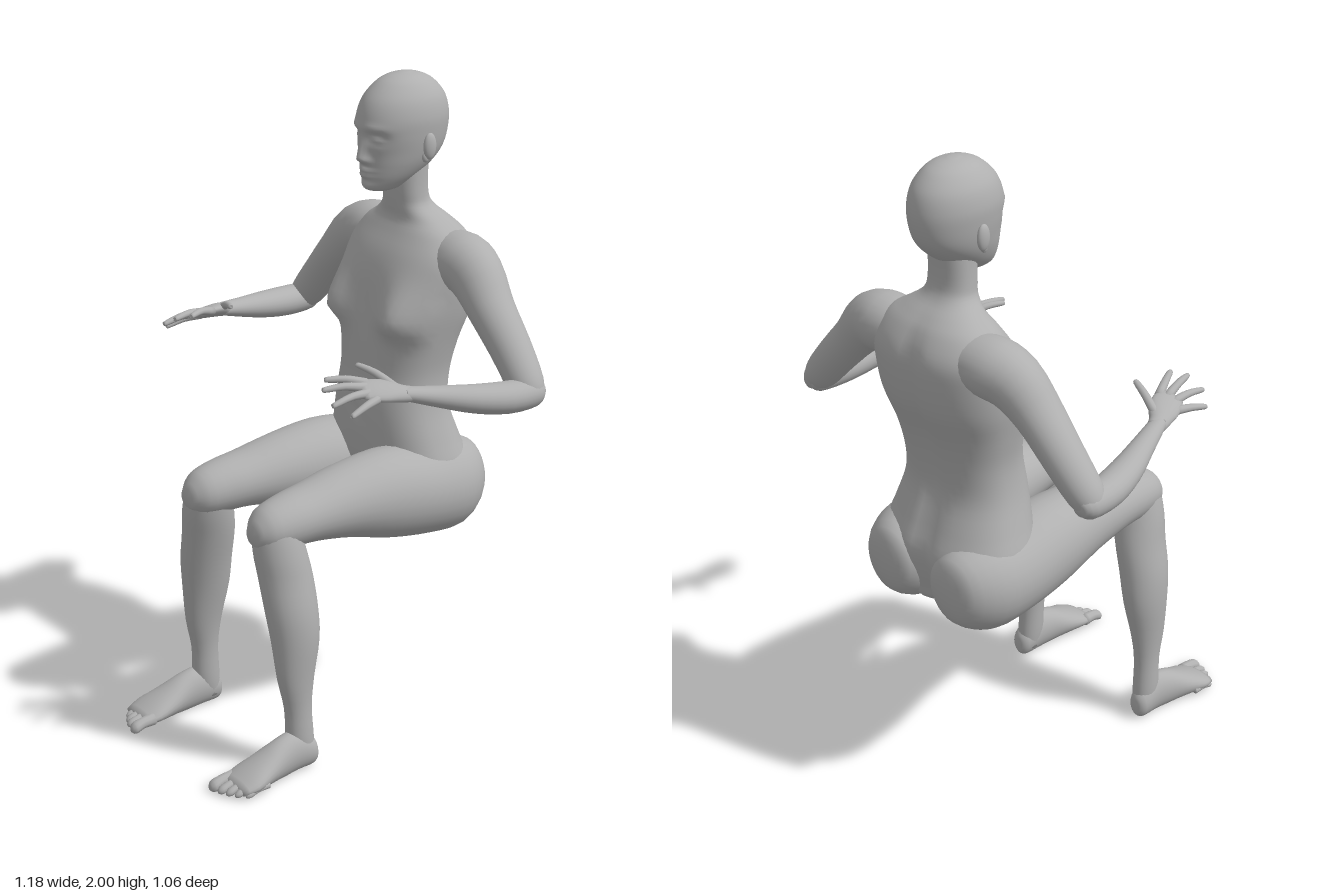
import * as THREE from 'three';

const skin = new THREE.MeshStandardMaterial({ color: 0xb0b0b0 });
skin.name = 'plain grey';

const V = (x, y, z) => new THREE.Vector3(x, y, z);
const X = V(1, 0, 0), Y = V(0, 1, 0), Z = V(0, 0, 1);

// Smooth skin through sections [x, y, z, radius along side, radius across].
// A fixed axis keeps every ring parallel; otherwise rings follow the path.
function loft(name, secs, { side = X, axis = null, mirror = 1, segs = 24, sub = 3, power = 2, deform = null }) {
  const path = new THREE.CatmullRomCurve3(secs.map(s => V(s[0] * mirror, s[1], s[2])), false, 'catmullrom', 0.5);
  const radii = new THREE.CatmullRomCurve3(secs.map(s => V(s[3], s[4], 0)), false, 'catmullrom', 0.5);
  const rows = (secs.length - 1) * sub;
  const pos = [], index = [];
  const put = p => { if (deform) deform(p); pos.push(p.x, p.y, p.z); };
  const round = t => Math.sign(t) * Math.pow(Math.abs(t), 2 / power);
  for (let i = 0; i <= rows; i++) {
    const t = i / rows, c = path.getPoint(t), r = radii.getPoint(t);
    const dir = axis || path.getTangent(t);
    const a = V(side.x * mirror, side.y, side.z);
    a.addScaledVector(dir, -a.dot(dir)).normalize();
    const b = dir.clone().cross(a);
    for (let j = 0; j < segs; j++) {
      const q = j / segs * Math.PI * 2;
      put(c.clone().addScaledVector(a, round(Math.cos(q)) * r.x).addScaledVector(b, round(Math.sin(q)) * r.y));
      if (i < rows) {
        const k = i * segs + j, n = i * segs + (j + 1) % segs;
        index.push(k, n, k + segs, n, n + segs, k + segs);
      }
    }
  }
  // End caps
  const last = rows * segs, c0 = last + segs;
  put(path.getPoint(0));
  put(path.getPoint(1));
  for (let j = 0; j < segs; j++) {
    const n = (j + 1) % segs;
    index.push(c0, n, j, c0 + 1, last + j, last + n);
  }
  const g = new THREE.BufferGeometry();
  g.setAttribute('position', new THREE.Float32BufferAttribute(pos, 3));
  g.setIndex(index);
  g.computeVertexNormals();
  const mesh = new THREE.Mesh(g, skin);
  mesh.name = name;
  return mesh;
}

const bell = (d, w) => Math.exp(-(d * d) / (w * w));

// Chest volume, spine groove and navel
function shapeTorso(p) {
  const ax = Math.abs(p.x);
  if (p.z > -0.32) {
    const dy = p.y - 1.285;
    p.z += 0.065 * bell(ax - 0.15, 0.075) * bell(dy, dy > 0 ? 0.1 : 0.05);
    p.z -= 0.012 * bell(p.x, 0.012) * bell(p.y - 0.98, 0.015);
  } else if (p.z < -0.4) {
    p.z += 0.018 * bell(p.x, 0.03) * (p.y < 1.45 ? 1 : bell(p.y - 1.45, 0.08));
  }
}

// Brow, eyes, nose, lips and chin
function shapeFace(p) {
  if (p.z < -0.28) return;
  const ax = Math.abs(p.x), y = p.y;
  let d = 0;
  d += 0.026 * bell(p.x, 0.017) * bell(y - 1.762, y > 1.762 ? 0.045 : 0.014);
  d += 0.008 * bell(ax - 0.018, 0.01) * bell(y - 1.757, 0.012);
  d -= 0.017 * bell(ax - 0.045, 0.026) * bell(y - 1.826, 0.018);
  d += 0.011 * bell(ax - 0.046, 0.017) * bell(y - 1.822, 0.009);
  d += 0.006 * bell(ax - 0.04, 0.035) * bell(y - 1.855, 0.012);
  d += 0.011 * bell(p.x, 0.028) * (bell(y - 1.727, 0.007) + bell(y - 1.71, 0.008));
  d += 0.008 * bell(p.x, 0.03) * bell(y - 1.678, 0.014);
  p.z += d;
}

function ellipsoid(name, x, y, z, rx, ry, rz) {
  const g = new THREE.SphereGeometry(1, 16, 12).scale(rx, ry, rz);
  const m = new THREE.Mesh(g, skin);
  m.position.set(x, y, z);
  m.name = name;
  return m;
}

function arm(mirror) {
  const g = new THREE.Group();
  g.name = mirror > 0 ? 'leftArm' : 'rightArm';
  g.add(loft('upperArm', [
    [0.1, 1.46, -0.41, 0.08, 0.07], [0.2, 1.46, -0.405, 0.093, 0.088], [0.28, 1.435, -0.395, 0.083, 0.085],
    [0.36, 1.36, -0.385, 0.073, 0.067], [0.45, 1.265, -0.385, 0.064, 0.06],
    [0.525, 1.18, -0.38, 0.056, 0.053], [0.555, 1.143, -0.37, 0.042, 0.036]], { side: Z, mirror }));
  g.add(loft('forearm', [
    [0.545, 1.15, -0.425, 0.02, 0.02], [0.543, 1.155, -0.395, 0.043, 0.043], [0.535, 1.157, -0.3, 0.052, 0.047],
    [0.515, 1.17, -0.2, 0.047, 0.042], [0.485, 1.19, -0.1, 0.036, 0.032], [0.458, 1.21, -0.01, 0.027, 0.022],
    [0.452, 1.213, 0.01, 0.026, 0.02]], { mirror }));
  g.add(loft('palm', [
    [0.46, 1.209, -0.02, 0.024, 0.02], [0.45, 1.215, 0.015, 0.031, 0.021], [0.432, 1.224, 0.05, 0.043, 0.02],
    [0.415, 1.231, 0.09, 0.045, 0.017], [0.407, 1.234, 0.125, 0.034, 0.011]], { side: V(0.92, -0.38, 0), mirror }));
  const fingers = {
    thumb: [[0.435, 1.225, 0.02], [0.37, 1.258, 0.045], [0.31, 1.273, 0.07]],
    indexFinger: [[0.383, 1.243, 0.09], [0.36, 1.26, 0.145], [0.333, 1.262, 0.2]],
    middleFinger: [[0.4, 1.238, 0.105], [0.387, 1.252, 0.17], [0.37, 1.25, 0.235]],
    ringFinger: [[0.421, 1.228, 0.105], [0.424, 1.233, 0.17], [0.424, 1.22, 0.24]],
    littleFinger: [[0.443, 1.216, 0.09], [0.457, 1.21, 0.145], [0.466, 1.193, 0.205]]
  };
  for (const [name, [a, b, c]] of Object.entries(fingers)) {
    const near = c.map((v, i) => v + (b[i] - v) * 0.12);
    g.add(loft(name, [[...a, 0.014, 0.014], [...b, 0.012, 0.011], [...near, 0.009, 0.008], [...c, 0.003, 0.003]],
      { side: name === 'thumb' ? Z : X, mirror, segs: 10 }));
  }
  return g;
}

function leg(mirror) {
  const g = new THREE.Group();
  g.name = mirror > 0 ? 'leftLeg' : 'rightLeg';
  g.add(loft('thigh', [
    [0.12, 0.755, -0.528, 0.03, 0.04], [0.13, 0.745, -0.505, 0.09, 0.105], [0.14, 0.737, -0.42, 0.133, 0.145],
    [0.15, 0.745, -0.3, 0.137, 0.145], [0.155, 0.765, -0.15, 0.128, 0.14], [0.157, 0.78, 0, 0.112, 0.112],
    [0.162, 0.78, 0.13, 0.096, 0.088], [0.166, 0.775, 0.22, 0.085, 0.08],
    [0.168, 0.767, 0.295, 0.068, 0.066], [0.17, 0.76, 0.335, 0.03, 0.03]], { axis: Z, mirror, segs: 28 }));
  g.add(loft('shin', [
    [0.25, 0.03, 0.215, 0.03, 0.035], [0.25, 0.09, 0.225, 0.037, 0.045], [0.247, 0.2, 0.23, 0.036, 0.044],
    [0.243, 0.3, 0.235, 0.045, 0.06], [0.235, 0.42, 0.23, 0.061, 0.077], [0.222, 0.52, 0.235, 0.07, 0.083],
    [0.2, 0.62, 0.24, 0.073, 0.084], [0.185, 0.7, 0.25, 0.075, 0.08],
    [0.172, 0.78, 0.255, 0.068, 0.068], [0.17, 0.825, 0.25, 0.045, 0.04]], { axis: Y, mirror }));
  const sole = p => { p.y = Math.max(p.y, 0); };
  g.add(loft('foot', [
    [0.255, 0.045, 0.172, 0.015, 0.025], [0.255, 0.05, 0.19, 0.034, 0.047], [0.255, 0.065, 0.25, 0.041, 0.065],
    [0.258, 0.058, 0.31, 0.047, 0.062], [0.26, 0.045, 0.37, 0.06, 0.046],
    [0.263, 0.032, 0.43, 0.07, 0.03], [0.262, 0.022, 0.475, 0.06, 0.016]], { axis: Z, mirror, deform: sole }));
  // Toes, from the big toe outwards
  [[0.215, 0.528, 0.02], [0.248, 0.52, 0.014], [0.273, 0.508, 0.013], [0.297, 0.493, 0.012], [0.319, 0.47, 0.011]]
    .forEach(([x, z, r], i) => g.add(loft('toe' + (i + 1), [
      [x, 0.026, z - 0.08, r, r], [x, 0.024, z - 0.04, r * 0.9, r * 0.9],
      [x, 0.016, z - 0.012, r, r * 0.9], [x, 0.013, z, r * 0.4, r * 0.4]],
    { axis: Z, mirror, segs: 10, deform: sole })));
  return g;
}

export function createModel() {
  const model = new THREE.Group();
  model.name = 'seatedFigure';
  model.add(loft('torso', [
    [0, 0.61, -0.39, 0.03, 0.03], [0, 0.635, -0.385, 0.1, 0.08], [0, 0.68, -0.365, 0.17, 0.115],
    [0, 0.75, -0.35, 0.23, 0.15], [0, 0.82, -0.342, 0.245, 0.165], [0, 0.9, -0.325, 0.222, 0.155],
    [0, 1, -0.31, 0.194, 0.14], [0, 1.1, -0.32, 0.184, 0.138], [0, 1.2, -0.335, 0.198, 0.147],
    [0, 1.3, -0.362, 0.218, 0.157], [0, 1.4, -0.377, 0.228, 0.157], [0, 1.47, -0.388, 0.225, 0.142],
    [0, 1.53, -0.39, 0.185, 0.108], [0, 1.567, -0.382, 0.13, 0.082], [0, 1.605, -0.36, 0.083, 0.064],
    [0, 1.65, -0.35, 0.073, 0.058], [0, 1.75, -0.35, 0.07, 0.06]],
  { axis: Y, segs: 48, sub: 4, power: 2.3, deform: shapeTorso }));
  model.add(loft('head', [
    [0, 1.657, -0.27, 0.02, 0.04], [0, 1.668, -0.268, 0.042, 0.062], [0, 1.7, -0.29, 0.069, 0.092],
    [0, 1.74, -0.315, 0.09, 0.12], [0, 1.78, -0.33, 0.102, 0.138], [0, 1.83, -0.333, 0.11, 0.15],
    [0, 1.88, -0.335, 0.112, 0.149], [0, 1.93, -0.338, 0.1, 0.131], [0, 1.97, -0.34, 0.073, 0.094],
    [0, 1.99, -0.34, 0.045, 0.057], [0, 2, -0.34, 0.012, 0.015]],
  { axis: Y, segs: 72, sub: 7, deform: shapeFace }));
  for (const s of [1, -1]) {
    const ear = new THREE.Group();
    ear.name = s > 0 ? 'leftEar' : 'rightEar';
    ear.add(ellipsoid('earShell', s * 0.116, 1.798, -0.345, 0.013, 0.04, 0.022));
    ear.add(ellipsoid('earLobe', s * 0.109, 1.765, -0.336, 0.009, 0.016, 0.012));
    model.add(ear, arm(s), leg(s));
  }
  return model;
}
